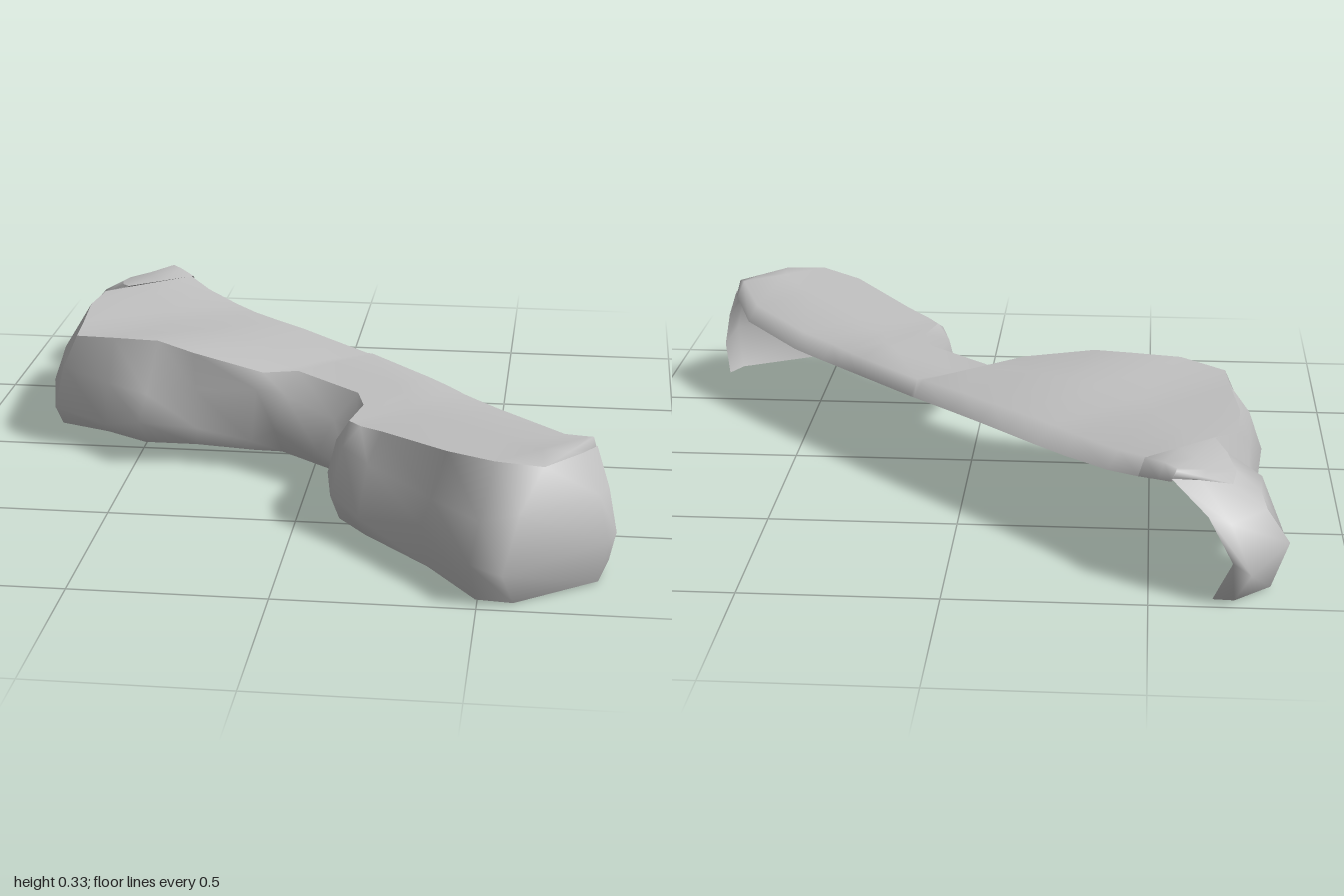
import * as THREE from 'three';

const { clamp, smoothstep } = THREE.MathUtils;

// Sections along the rocky front: [bulge x, bulge z, rim x, rim z]
const SECTIONS = [
  [0.83, 0.73, 0.775, 0.65],
  [0.81, 0.85, 0.74, 0.72],
  [0.56, 0.99, 0.65, 0.865],
  [0.48, 0.98, 0.53, 0.855],
  [0.35, 0.79, 0.41, 0.77],
  [0.18, 0.66, 0.23, 0.56],
  [0.1, 0.575, 0.17, 0.5],
  [0.08, 0.46, 0.135, 0.45],
  [0.12, 0.34, 0.16, 0.33],
  [0.03, 0.26, 0.135, 0.225],
  [-0.1, 0.165, -0.05, 0.05],
  [-0.17, 0.135, -0.14, 0.11],
  [-0.325, 0.115, -0.34, 0.07],
  [-0.485, 0.14, -0.45, 0.01],
  [-0.6, 0.045, -0.58, -0.01],
  [-0.755, -0.01, -0.7, -0.07],
  [-0.8, -0.2, -0.71, -0.2],
  [-0.78, -0.39, -0.73, -0.4],
  [-0.77, -0.55, -0.72, -0.56],
  [-0.72, -0.66, -0.66, -0.61],
  [-0.835, -0.7, -0.69, -0.68],
  [-0.81, -0.82, -0.71, -0.77],
  [-0.84, -0.885, -0.7, -0.84],
  [-0.745, -1, -0.62, -0.85],
  [-0.7, -0.99, -0.55, -0.86],
];

// Smooth diagonal lip at the back
const BACK = new THREE.CatmullRomCurve3([
  new THREE.Vector3(0.775, 0.285, 0.65),
  new THREE.Vector3(0.71, 0.24, 0.505),
  new THREE.Vector3(0.29, 0.225, 0.02),
  new THREE.Vector3(0, 0.228, -0.29),
  new THREE.Vector3(-0.38, 0.23, -0.68),
  new THREE.Vector3(-0.55, 0.265, -0.86),
], false, 'centripetal');

// Two gentle swells along the rim, dropping towards the far corner
function rimPoint(x, z) {
  const swell = 0.293 + 0.032 * Math.cos((x - 0.55) * 6);
  return new THREE.Vector3(x, swell - 0.14 * Math.max(0, -z - 0.5), z);
}

// Surface through rows of points; each row is one cross-section
function loft(rows) {
  const n = rows[0].length;
  const index = [];
  for (let i = 0; i < rows.length - 1; i++) {
    for (let j = 0; j < n - 1; j++) {
      const a = i * n + j, b = a + 1, c = a + n, d = c + 1;
      index.push(a, c, b, b, c, d);
    }
  }
  const geometry = new THREE.BufferGeometry().setFromPoints(rows.flat());
  geometry.setIndex(index);
  geometry.computeVertexNormals();
  return geometry;
}

// Rim, shoulder, bulge and tucked-in foot of the cliff
function wallRow([x, z, rx, rz], i) {
  const rim = rimPoint(rx, rz);
  const bulge = new THREE.Vector3(x, 0.105 + 0.025 * Math.sin(i * 2.1), z);
  const shoulder = rim.clone().lerp(bulge, 0.6).setY(0.21 + 0.02 * Math.sin(i * 1.3));
  const foot = bulge.clone().lerp(rim, 0.3);
  foot.y = 0.055 * (1 - smoothstep(Math.abs(z), 0.3, 1));
  return [rim, shoulder, bulge, foot];
}

// Back lip, crest and slab up to the rim
function topRow([, , rx, rz], i) {
  const along = ((0.775 - rx) * 0.66 + (0.65 - rz) * 0.75) / 2.01;
  const lip = BACK.getPointAt(i === SECTIONS.length - 1 ? 1 : clamp(along, 0, 1));
  const rim = rimPoint(rx, rz);
  const crest = lip.clone().lerp(rim, 0.08);
  crest.y = lip.y + 0.045 * Math.min(1, lip.distanceTo(rim) * 4);
  const middle = crest.clone().lerp(rim, 0.5);
  return [lip, crest, middle, rim];
}

export function createModel() {
  const stone = new THREE.MeshStandardMaterial({ color: 0xc0c0c0, side: THREE.DoubleSide });
  stone.name = 'grey stone';
  const group = new THREE.Group();
  group.name = 'rockLedge';
  const add = (name, rows) => {
    const mesh = new THREE.Mesh(loft(rows), stone);
    mesh.name = name;
    group.add(mesh);
  };
  // Open shell: no back and no underside
  add('cliffWall', SECTIONS.map(wallRow));
  add('topSlab', SECTIONS.map(topRow));
  return group;
}
